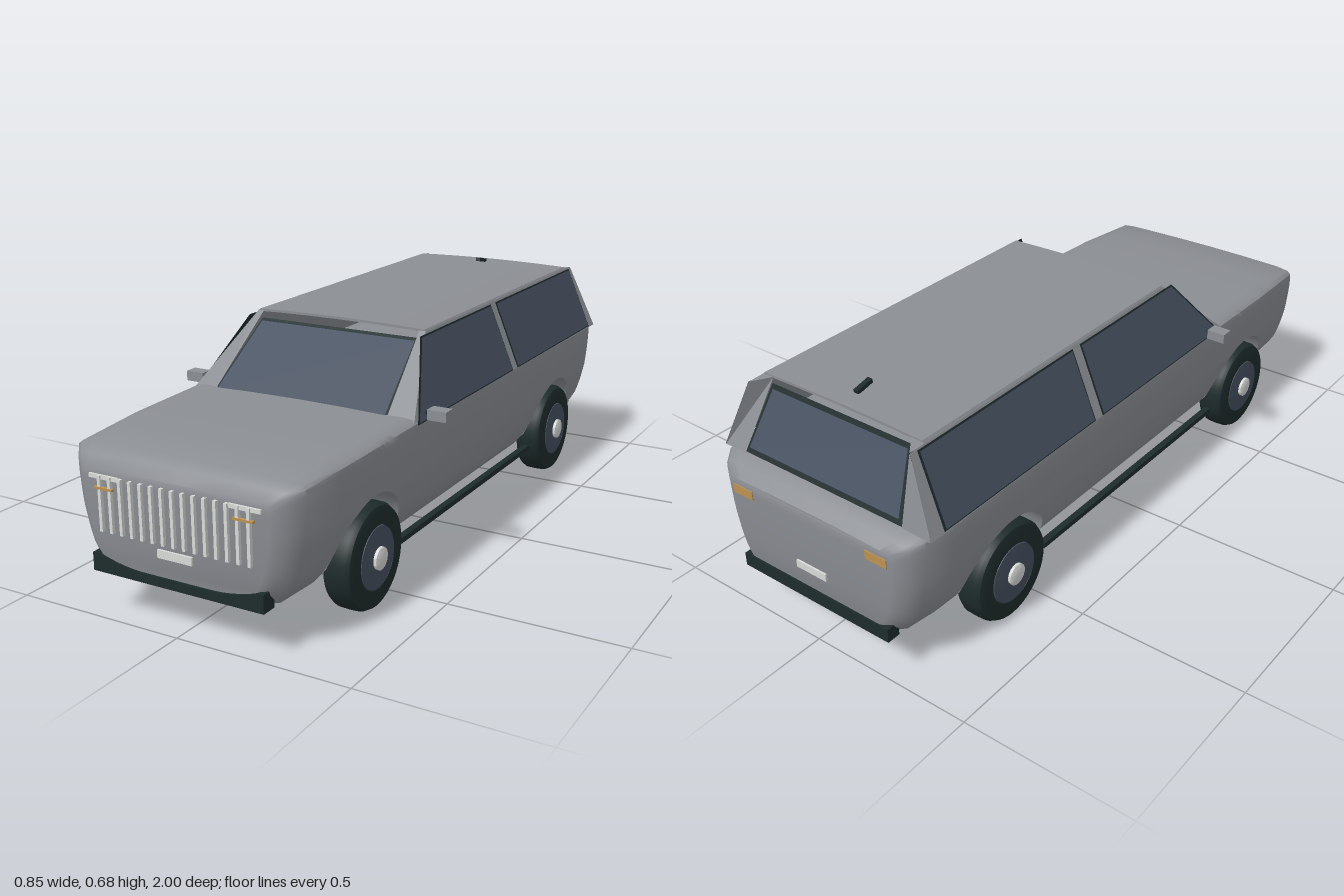
import * as THREE from 'three';
import { toCreasedNormals } from 'three/addons/utils/BufferGeometryUtils.js';

const mat = (name, color) => {
  const m = new THREE.MeshStandardMaterial({ color, side: THREE.DoubleSide });
  m.name = name;
  return m;
};

export function createModel() {
  const paint = mat('grey paint', 0x8b8e93);
  const glass = mat('slate glass', 0x465060);
  const rubber = mat('dark rubber', 0x1e2b2b);
  const chrome = mat('pale chrome', 0xd8dad8);
  const amber = mat('amber', 0xbd9150);

  const car = new THREE.Group();
  car.name = 'car';
  const add = (name, geo, material, x = 0, y = 0, z = 0, parent = car) => {
    const mesh = new THREE.Mesh(geo, material);
    mesh.name = name;
    mesh.position.set(x, y, z);
    parent.add(mesh);
    return mesh;
  };
  const box = (name, w, h, d, material, x, y, z) =>
    add(name, new THREE.BoxGeometry(w, h, d), material, x, y, z);

  // Linear lookup in rows of [key, values...] sorted by rising key
  const lookup = (rows, key, col = 1) => {
    if (key <= rows[0][0]) return rows[0][col];
    for (let i = 1; i < rows.length; i++) {
      const a = rows[i - 1], b = rows[i];
      if (key <= b[0]) return a[col] + (b[col] - a[col]) * (key - a[0]) / (b[0] - a[0]);
    }
    return rows[rows.length - 1][col];
  };

  // Thin convex panel, corners anticlockwise seen from outside
  const plate = (name, pts, material) => {
    const v = [];
    for (let i = 1; i < pts.length - 1; i++) v.push(...pts[0], ...pts[i], ...pts[i + 1]);
    const g = new THREE.BufferGeometry();
    g.setAttribute('position', new THREE.Float32BufferAttribute(v, 3));
    g.computeVertexNormals();
    return add(name, g, material);
  };

  // ---- Lower body: cross-sections along z, with raised wheel arches
  const wheelZ = 0.615, wheelY = 0.145, archR = 0.172;
  const sideCurve = [[0.10, 0.18], [0.122, 0.273], [0.168, 0.313], [0.2, 0.327],
    [0.25, 0.342], [0.3, 0.353], [0.37, 0.36], [0.43, 0.362]];
  // z, width scale, top, bottom
  const ends = [[-0.995, 0.79, 0.405, 0.125], [-0.97, 0.89, 0.43, 0.112], [-0.935, 0.955, 0.447, 0.102],
    [-0.85, 0.99, 0.453, 0.1], [-0.7, 1, 0.455, 0.1], [0.42, 1, 0.463, 0.1], [0.7, 0.99, 0.457, 0.1],
    [0.93, 0.95, 0.446, 0.102], [0.965, 0.87, 0.43, 0.112], [0.988, 0.78, 0.40, 0.125]];
  const stations = ends.map(e => {
    const o = Math.abs(Math.abs(e[0]) - wheelZ);
    return [e[0], o < archR ? wheelY + Math.sqrt(archR ** 2 - o ** 2) : 0];
  });
  for (const c of [wheelZ, -wheelZ]) {
    for (let i = 0; i <= 24; i++) {
      const a = Math.PI * i / 24;
      stations.push([c + archR * Math.cos(a), wheelY + archR * Math.sin(a)]);
    }
    stations.push([c + archR + 0.002, 0], [c - archR - 0.002, 0]);
  }
  stations.sort((a, b) => b[0] - a[0]);

  const section = ([z, arch]) => {
    const s = lookup(ends, z, 1), top = lookup(ends, z, 2), bottom = lookup(ends, z, 3);
    const low = Math.max(arch, bottom), mid = 0.325;
    const half = [[0.18 * s, low]];
    for (let k = 0; k <= 11; k++) {
      const y = k < 8 ? low + (mid - low) * k / 8 : mid + (top - 0.03 - mid) * (k - 8) / 3;
      half.push([lookup(sideCurve, y - (bottom - 0.1) * (top - y) / (top - bottom)) * s, y]);
    }
    half.push([0.36 * s, top - 0.014], [0.348 * s, top - 0.004], [0.315 * s, top], [0.15 * s, top + 0.003]);
    const ring = [...half, [0, top + 0.004], ...half.map(([x, y]) => [-x, y]).reverse()];
    ring.push([-0.18 * s, bottom], [0.18 * s, bottom]);
    return ring.map(([x, y]) => [x, y, z]);
  };
  const rings = stations.map(section);
  const n = rings[0].length, m = n - 2, index = [];
  for (let i = 0; i < rings.length - 1; i++) {
    for (let j = 0; j < n - 1; j++) {
      if (j === m - 1) continue; // wheel wells stay open towards the inside
      const a = i * n + j, b = a + n;
      index.push(a, b, a + 1, b, b + 1, a + 1);
    }
  }
  const last = (rings.length - 1) * n;
  for (let j = 0; j < (m - 1) / 2; j++) {
    const k = m - 1 - j;
    index.push(j, j + 1, k, j + 1, k - 1, k);
    index.push(last + j, last + k, last + j + 1, last + j + 1, last + k, last + k - 1);
  }
  const hull = new THREE.BufferGeometry();
  hull.setAttribute('position', new THREE.Float32BufferAttribute(rings.flat(2), 3));
  hull.setIndex(index);
  add('lowerBody', toCreasedNormals(hull, 0.75), paint);

  // ---- Cabin
  const roof = new THREE.Shape();
  roof.moveTo(-0.277, 0.643);
  roof.quadraticCurveTo(0, 0.653, 0.277, 0.643);
  roof.lineTo(0.272, 0.65);
  roof.quadraticCurveTo(0, 0.661, -0.272, 0.65);
  add('roof', toCreasedNormals(new THREE.ExtrudeGeometry(roof,
    { depth: 1.055, bevelEnabled: false, curveSegments: 16 }), 0.5), paint, 0, 0, -0.85);

  const cabinX = y => 0.36 - 0.083 * (y - 0.445) / 0.2;
  for (const s of [1, -1]) {
    const sided = (name, pts, material) => plate(name, s > 0 ? pts : pts.reverse(), material);
    const side = (name, pts, out, material) =>
      sided(name, pts.map(([z, y]) => [s * (cabinX(y) + out), y, z]), material);
    side('cabinSide', [[-0.935, 0.44], [-0.9, 0.643], [0.205, 0.646], [0.43, 0.445]], 0, paint);
    side('frontWindowTrim', [[-0.222, 0.444], [-0.222, 0.64], [0.245, 0.64], [0.41, 0.444]], 0.002, rubber);
    side('frontWindow', [[-0.217, 0.448], [-0.217, 0.636], [0.24, 0.636], [0.4, 0.448]], 0.004, glass);
    side('rearWindowTrim', [[-0.885, 0.444], [-0.878, 0.64], [-0.255, 0.64], [-0.255, 0.444]], 0.002, rubber);
    side('rearWindow', [[-0.878, 0.448], [-0.872, 0.636], [-0.26, 0.636], [-0.26, 0.448]], 0.004, glass);
    sided('windscreenPillar', [[s * 0.36, 0.445, 0.43], [s * 0.277, 0.646, 0.205],
      [s * 0.258, 0.646, 0.205], [s * 0.279, 0.452, 0.437]], paint);
    sided('tailPillar', [[s * 0.36, 0.44, -0.935], [s * 0.275, 0.45, -0.94],
      [s * 0.238, 0.648, -0.85], [s * 0.277, 0.643, -0.9]], paint);
    sided('roofTip', [[s * 0.277, 0.645, -0.85], [s * 0.277, 0.643, -0.9], [s * 0.238, 0.648, -0.85]], paint);
  }
  // Sloping panes, given by half width, height and depth of the two edges
  const pane = (name, [x0, y0, z0], [x1, y1, z1], material) => {
    const f = Math.sign(z0);
    plate(name, [[-f * x0, y0, z0], [f * x0, y0, z0], [f * x1, y1, z1], [-f * x1, y1, z1]], material);
  };
  pane('windscreenTrim', [0.28, 0.453, 0.436], [0.259, 0.626, 0.211], rubber);
  pane('windscreen', [0.272, 0.46, 0.432], [0.253, 0.62, 0.223], glass);
  pane('tailWindowTrim', [0.275, 0.452, -0.939], [0.244, 0.628, -0.85], rubber);
  pane('tailWindow', [0.262, 0.468, -0.936], [0.234, 0.618, -0.86], glass);

  // ---- Wheels
  const lathe = pts => toCreasedNormals(
    new THREE.LatheGeometry(pts.map(p => new THREE.Vector2(...p)), 40), 0.6);
  const tyre = lathe([[0, -0.043], [0.12, -0.043], [0.137, -0.038], [0.144, -0.025], [0.145, 0],
    [0.144, 0.025], [0.137, 0.038], [0.12, 0.043], [0.088, 0.043], [0.086, 0.034], [0, 0.034]]);
  const disc = lathe([[0.087, 0.036], [0.085, 0.0435], [0.05, 0.046], [0, 0.048]]);
  const hub = lathe([[0.031, 0.03], [0.031, 0.055], [0.024, 0.058], [0, 0.058]]);
  for (const s of [1, -1]) for (const z of [wheelZ, -wheelZ]) {
    const wheel = new THREE.Group();
    wheel.name = (z > 0 ? 'front' : 'rear') + (s > 0 ? 'Left' : 'Right') + 'Wheel';
    wheel.position.set(s * 0.313, wheelY, z);
    wheel.rotation.z = -s * Math.PI / 2;
    add('tyre', tyre, rubber, 0, 0, 0, wheel);
    add('wheelDisc', disc, glass, 0, 0, 0, wheel);
    add('hub', hub, chrome, 0, 0, 0, wheel);
    car.add(wheel);
  }

  // ---- Bumpers: front bar with raised ends, straight rear bar
  const bar = new THREE.Shape();
  bar.moveTo(-0.26, 0.125);
  bar.lineTo(0.26, 0.125);
  bar.lineTo(0.26, 0.175);
  bar.lineTo(0.245, 0.175);
  bar.quadraticCurveTo(0.17, 0.15, 0.1, 0.15);
  bar.lineTo(-0.1, 0.15);
  bar.quadraticCurveTo(-0.17, 0.15, -0.245, 0.175);
  bar.lineTo(-0.26, 0.175);
  add('frontBumper', new THREE.ExtrudeGeometry(bar, { depth: 0.045, bevelEnabled: false }),
    rubber, 0, 0, 0.95);
  box('rearBumper', 0.52, 0.04, 0.04, rubber, 0, 0.145, -0.98);

  // ---- Nose and tail details
  for (let i = -7; i <= 7; i++) box('grilleBar', 0.009, 0.149, 0.014, chrome, i * 0.032, 0.313, 0.991);
  box('frontPlate', 0.105, 0.022, 0.009, chrome, 0, 0.214, 0.99);
  box('rearPlate', 0.105, 0.022, 0.009, chrome, 0, 0.228, -0.996);
  for (const s of [1, -1]) {
    box('headlight', 0.092, 0.011, 0.014, chrome, s * 0.212, 0.383, 0.987);
    box('frontIndicator', 0.058, 0.006, 0.009, amber, s * 0.21, 0.355, 0.995);
    box('tailLight', 0.07, 0.026, 0.009, amber, s * 0.235, 0.372, -0.993);

    // Sills and mirrors
    box('sill', 0.02, 0.016, 0.9, rubber, s * 0.322, 0.121, 0);
    box('mirrorStalk', 0.04, 0.008, 0.012, rubber, s * 0.355, 0.463, 0.35);
    box('mirror', 0.057, 0.029, 0.04, paint, s * 0.396, 0.464, 0.35);
  }
  box('aerial', 0.015, 0.012, 0.055, rubber, 0, 0.665, -0.765).rotation.x = -0.22;

  return car;
}
